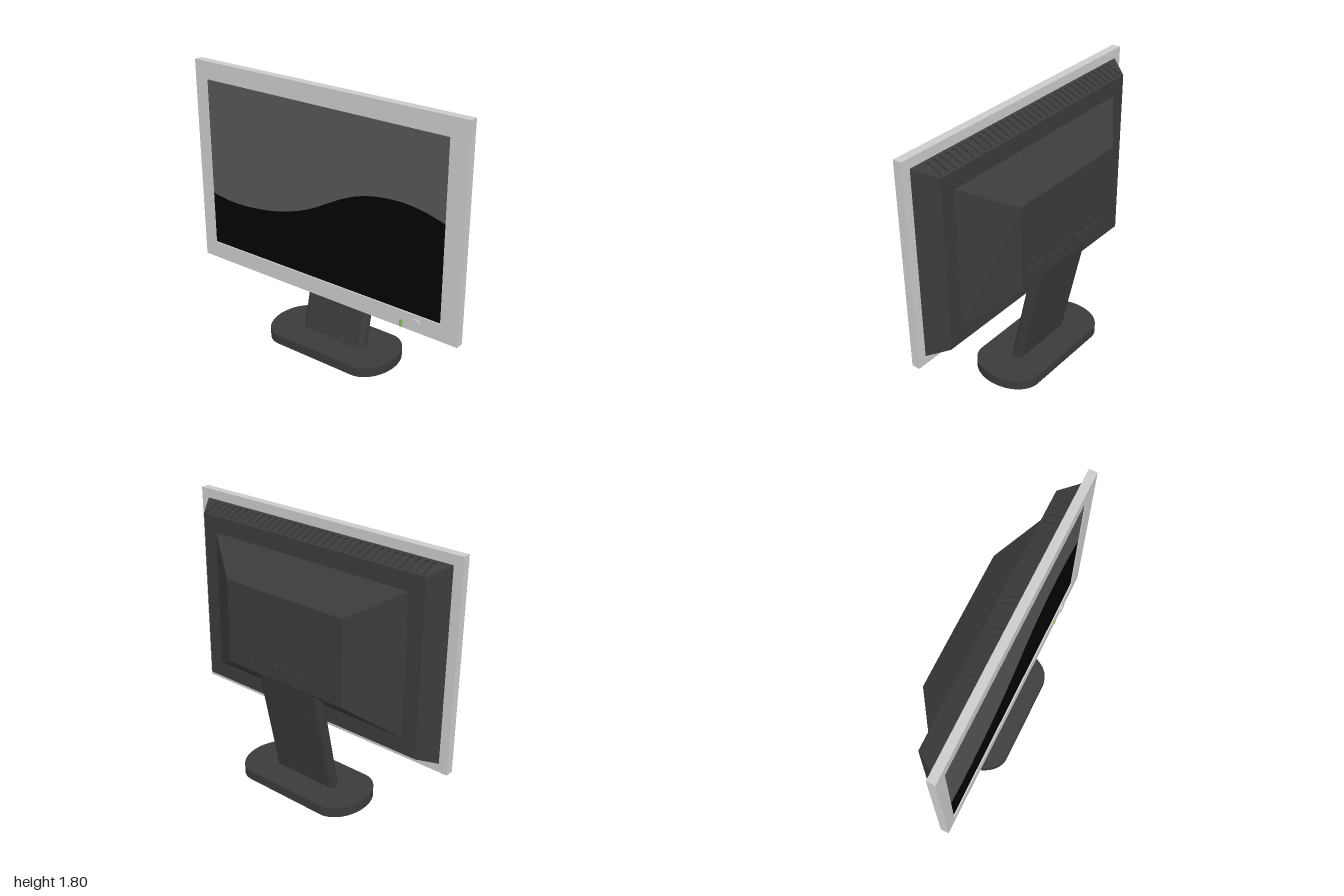
import * as THREE from 'three';
import { toCreasedNormals } from 'three/addons/utils/BufferGeometryUtils.js';

const mat = (color) => new THREE.MeshStandardMaterial({ color });
const silver = mat(0xcccccc), dark = mat(0x3b3b3b);
const screenGrey = mat(0x565656), screenBlack = mat(0x030303), green = mat(0x7cc63c);

function add(parent, name, geometry, material) {
  const mesh = new THREE.Mesh(geometry, material);
  mesh.name = name;
  parent.add(mesh);
  return mesh;
}

function rectPath(x0, x1, y0, y1, PathClass = THREE.Path) {
  return new PathClass([[x0, y0], [x1, y0], [x1, y1], [x0, y1]].map(([x, y]) => new THREE.Vector2(x, y)));
}

// Slab lying flat with elliptical corners, rising from y = 0
function roundedSlab(w, d, rx, rz, h) {
  const s = new THREE.Shape(), a = w / 2 - rx, b = d / 2 - rz, q = Math.PI / 2;
  [[a, b], [-a, b], [-a, -b], [a, -b]].forEach(([x, y], i) => s.absellipse(x, y, rx, rz, i * q, (i + 1) * q));
  s.closePath();
  return new THREE.ExtrudeGeometry(s, { depth: h, bevelEnabled: false, curveSegments: 14 }).rotateX(-Math.PI / 2);
}

// Tapered walls between a front and a rear rectangle {x, y0, y1, z}; sides are bottom, right, top, left
function taperedWalls(front, rear, { skip = -1, cap = false }) {
  const ring = (r) => [[-r.x, r.y0, r.z], [r.x, r.y0, r.z], [r.x, r.y1, r.z], [-r.x, r.y1, r.z]];
  const f = ring(front), b = ring(rear), pos = [];
  const quad = (p, q, r, s) => pos.push(...p, ...q, ...r, ...p, ...r, ...s);
  for (let i = 0; i < 4; i++) {
    const j = (i + 1) % 4;
    if (i !== skip) quad(f[i], b[i], b[j], f[j]);
  }
  if (cap) quad(b[1], b[0], b[3], b[2]);
  const g = new THREE.BufferGeometry();
  g.setAttribute('position', new THREE.Float32BufferAttribute(pos, 3));
  g.computeVertexNormals();
  return g;
}

// Box turned inside out, without its +z side
function pocketGeometry(w, h, d) {
  const g = new THREE.BoxGeometry(w, h, d);
  g.setIndex(Array.from(g.index.array).filter((_, i) => i < 24 || i >= 30).reverse());
  g.clearGroups();
  g.computeVertexNormals();
  return g;
}

// Flat face (facing local +z) with a row of recessed slots
function ventedFace(name, shape, { count, first, pitch, width, y0, y1, depth }) {
  const group = new THREE.Group();
  group.name = name;
  const slot = pocketGeometry(width, y1 - y0, depth);
  for (let i = 0; i < count; i++) {
    const x = first + i * pitch;
    shape.holes.push(rectPath(x - width / 2, x + width / 2, y0, y1));
    add(group, 'ventSlot', slot, dark).position.set(x, (y0 + y1) / 2, -depth / 2);
  }
  add(group, 'ventPanel', new THREE.ShapeGeometry(shape), dark);
  return group;
}

export function createModel() {
  const model = new THREE.Group();
  model.name = 'monitor';

  // Base and leaning neck
  add(model, 'base', toCreasedNormals(roundedSlab(0.94, 0.466, 0.17, 0.233, 0.065), 0.6), dark);
  const lean = new THREE.Matrix4().set(1, 0, 0, 0, 0, 1, 0, 0, 0, -0.224, 1, 0, 0, 0, 0, 1);
  const neck = roundedSlab(0.49, 0.08, 0.038, 0.038, 0.8).applyMatrix4(lean);
  add(model, 'neck', toCreasedNormals(neck, 0.6), dark).position.set(0, 0.06, 0.001);

  // Front frame
  const frame = rectPath(-1, 1, 0.43, 1.803, THREE.Shape);
  frame.holes.push(rectPath(-0.91, 0.88, 0.543, 1.686));
  const frameGeo = new THREE.ExtrudeGeometry(frame, { depth: 0.055, bevelEnabled: false });
  add(model, 'bezel', frameGeo, silver).position.z = 0.1;

  // Screen, split by a wave
  const wave = new THREE.SplineCurve([
    [-0.92, 0.904], [-0.8, 0.886], [-0.66, 0.88], [-0.46, 0.898], [-0.26, 0.942], [-0.08, 1.01],
    [0.05, 1.08], [0.2, 1.157], [0.36, 1.209], [0.55, 1.23], [0.72, 1.215], [0.89, 1.17],
  ].map(([x, y]) => new THREE.Vector2(x, y))).getPoints(60);
  const corner = (x, y) => new THREE.Vector2(x, y);
  const upper = new THREE.Shape([...wave, corner(0.89, 1.7), corner(-0.92, 1.7)]);
  const lower = new THREE.Shape([corner(-0.92, 0.535), corner(0.89, 0.535), ...wave.slice().reverse()]);
  add(model, 'screenUpper', new THREE.ShapeGeometry(upper), screenGrey).position.z = 0.145;
  add(model, 'screenLower', new THREE.ShapeGeometry(lower), screenBlack).position.z = 0.145;

  // Power light and button
  add(model, 'powerLight', new THREE.BoxGeometry(0.022, 0.05, 0.02), green).position.set(0.61, 0.456, 0.1465);
  const button = new THREE.CylinderGeometry(0.035, 0.035, 0.03, 32).rotateX(Math.PI / 2);
  add(model, 'powerButton', button, silver).position.set(0.715, 0.485, 0.149);

  // Outer rear housing with vents along its top slope
  const outerFront = { x: 0.94, y0: 0.488, y1: 1.742, z: 0.1 };
  const outerRear = { x: 0.855, y0: 0.545, y1: 1.688, z: -0.028 };
  add(model, 'rearHousing', taperedWalls(outerFront, outerRear, { skip: 2, cap: true }), dark);
  const dy = outerRear.y1 - outerFront.y1, dz = outerRear.z - outerFront.z, len = Math.hypot(dy, dz);
  const slope = new THREE.Shape([
    corner(-0.94, 0), corner(0.94, 0), corner(0.855, len), corner(-0.855, len),
  ]);
  const topVents = ventedFace('topVents', slope,
    { count: 34, first: -0.832, pitch: 1.664 / 33, width: 0.022, y0: 0.017, y1: 0.127, depth: 0.012 });
  topVents.position.set(0, outerFront.y1, outerFront.z);
  topVents.rotation.x = Math.atan2(dz, dy);
  model.add(topVents);

  // Inner rear housing with vertical vents on its back face
  const innerFront = { x: 0.75, y0: 0.652, y1: 1.578, z: -0.028 };
  const innerRear = { x: 0.455, y0: 0.833, y1: 1.398, z: -0.233 };
  add(model, 'rearBulge', taperedWalls(innerFront, innerRear, {}), dark);
  const backVents = ventedFace('backVents', rectPath(-0.455, 0.455, 0.833, 1.398, THREE.Shape),
    { count: 8, first: -0.355, pitch: 0.095, width: 0.05, y0: 0.93, y1: 1.325, depth: 0.012 });
  backVents.position.z = innerRear.z;
  backVents.rotation.y = Math.PI;
  model.add(backVents);

  return model;
}
